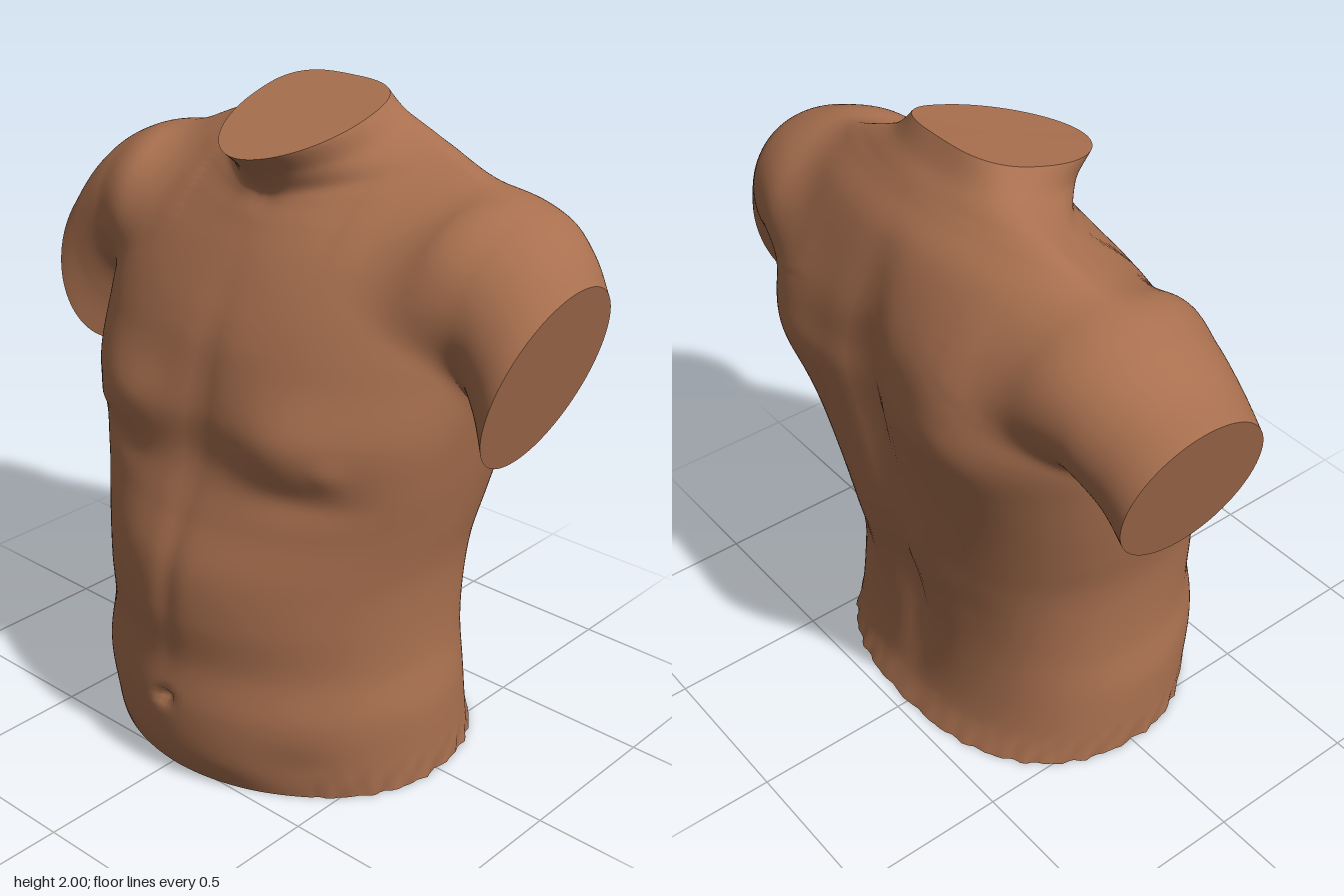
import * as THREE from 'three';
import { mergeGeometries } from 'three/addons/utils/BufferGeometryUtils.js';

const skin = new THREE.MeshStandardMaterial({ color: 0xa9704f });
const CX = 0.02; // the body stands slightly off centre
const { clamp, lerp, smoothstep } = THREE.MathUtils;

// Catmull-Rom interpolation of every column of a table of rows, t in 0..1
function sampleRows(rows, t) {
  const f = t * (rows.length - 1);
  const i = Math.min(Math.floor(f), rows.length - 2), k = f - i;
  const at = (j) => rows[clamp(j, 0, rows.length - 1)];
  return rows[i].map((_, c) => {
    const a = at(i - 1)[c], b = at(i)[c], d = at(i + 1)[c], e = at(i + 2)[c];
    return b + 0.5 * k * (d - a + k * (2 * a - 5 * b + 4 * d - e + k * (3 * (b - d) + e - a)));
  });
}
const refine = (rows) => Array.from({ length: 401 }, (_, i) => sampleRows(rows, i / 400));

// Row of a fine table where side(row) changes from negative to positive
function locate(table, side) {
  let lo = 0, hi = table.length - 1;
  while (hi - lo > 1) {
    const m = (lo + hi) >> 1;
    if (side(table[m]) < 0) lo = m; else hi = m;
  }
  const a = side(table[lo]), k = clamp(a / (a - side(table[hi])), 0, 1);
  return table[lo].map((v, c) => lerp(v, table[hi][c], k));
}

// Closed-ring loft with flat caps; point(t, angle) returns [x, y, z] or null where buried
function loft(point, rings, sides, flip, capEnds) {
  const make = (pos, tris) => {
    const g = new THREE.BufferGeometry();
    g.setAttribute('position', new THREE.Float32BufferAttribute(pos.flatMap((p) => p ?? [0, 1, 0]), 3));
    const shown = tris.filter((tri) => tri.every((i) => pos[i]));
    g.setIndex(shown.flatMap(([a, b, c]) => (flip ? [a, c, b] : [a, b, c])));
    g.computeVertexNormals();
    return g;
  };
  const ring = (i) => Array.from({ length: sides }, (_, j) => point(i / rings, (j / sides) * Math.PI * 2));
  const pos = [], tris = [];
  for (let i = 0; i <= rings; i++) {
    pos.push(...ring(i));
    for (let j = 0; i < rings && j < sides; j++) {
      const a = i * sides + j, b = i * sides + ((j + 1) % sides);
      tris.push([a, a + sides, b], [b, a + sides, b + sides]);
    }
  }
  const cap = (end) => {
    const r = ring(end * rings);
    const mid = [0, 1, 2].map((c) => r.reduce((s, p) => s + p[c], 0) / sides);
    return make([...r, mid], r.map((_, j) => (end ? [sides, (j + 1) % sides, j] : [sides, j, (j + 1) % sides])));
  };
  return mergeGeometries([make(pos, tris), ...capEnds.map(cap)]);
}

// Torso rows: height, half width, z of widest point, front z, back z,
// front roundness, back roundness, tilt of the section
const TORSO = [
  [0.0, 0.6, 0.04, 0.52, -0.46, 1.9, 2.4, 0],
  [0.1, 0.6, 0.04, 0.565, -0.42, 1.85, 2.4, 0],
  [0.25, 0.595, 0.05, 0.575, -0.4, 1.85, 2.4, 0],
  [0.4, 0.575, 0.05, 0.555, -0.4, 1.85, 2.4, 0],
  [0.55, 0.57, 0.05, 0.56, -0.42, 1.9, 2.4, 0],
  [0.7, 0.58, 0.05, 0.54, -0.455, 1.95, 2.4, 0],
  [0.85, 0.61, 0.03, 0.475, -0.48, 2.15, 2.5, 0],
  [1.0, 0.64, 0.02, 0.415, -0.5, 2.45, 2.7, 0],
  [1.15, 0.665, 0, 0.4, -0.52, 2.5, 2.9, 0],
  [1.3, 0.685, -0.04, 0.37, -0.54, 2.25, 3.1, 0],
  [1.4, 0.69, -0.06, 0.335, -0.535, 2.15, 3.1, -0.02],
  [1.5, 0.68, -0.09, 0.285, -0.525, 2.1, 2.8, -0.05],
  [1.6, 0.66, -0.13, 0.23, -0.49, 1.9, 2.3, -0.1],
  [1.69, 0.6, -0.16, 0.18, -0.435, 1.6, 1.9, -0.2],
  [1.75, 0.5, -0.18, 0.15, -0.37, 1.4, 1.7, -0.28],
  [1.79, 0.4, -0.19, 0.155, -0.335, 1.35, 1.7, -0.306],
  [1.85, 0.275, -0.16, 0.18, -0.29, 1.7, 2.2, -0.306],
  [1.923, 0.217, -0.07, 0.24, -0.25, 1.9, 3, -0.306],
];
const TORSO_FINE = refine(TORSO);

// Muscle relief: x, y, x spread, y spread, height (mirrored when x is not 0)
const FRONT = [
  [0.32, 1.11, 0.2, 0.13, 0.048],   // chest
  [0.45, 1.06, 0.04, 0.04, 0.012],
  [0.38, 0.96, 0.16, 0.05, -0.018], // fold under chest
  [0, 1.2, 0.05, 0.25, -0.012],     // breastbone
  [0, 0.65, 0.04, 0.25, -0.01],     // belly line
  [0, 0.265, 0.03, 0.02, -0.035],   // navel
  [0.4, 0.1, 0.1, 0.08, -0.02],     // groin folds
  [0, 1.74, 0.05, 0.05, -0.018],    // throat hollow
];
const BACK = [
  [0, 1.25, 0.07, 0.35, -0.05],     // spine groove
  [0, 0.5, 0.06, 0.3, -0.025],
  [0.38, 1.34, 0.18, 0.22, 0.045],  // shoulder blades
  [0.16, 0.6, 0.1, 0.3, 0.016],     // lower back
];
function relief(list, x, y) {
  let sum = 0;
  for (const [bx, by, sx, sy, h] of list) {
    for (const s of bx ? [1, -1] : [1]) {
      sum += h * Math.exp(-(((x - s * bx) / sx) ** 2) - ((y - by) / sy) ** 2);
    }
  }
  return sum;
}

const spow = (v, p) => Math.sign(v) * Math.pow(Math.abs(v), p);
function torsoPoint(t, a) {
  const [y0, w, zw, zf, zb, nf, nb, tilt] = sampleRows(TORSO, t);
  const s = Math.sin(a), front = s >= 0, p = 2 / (front ? nf : nb);
  // ragged hem around the sides and back
  const hem = Math.max(0, 1 - y0 / 0.1) * (s < 0.7 ? 1 : 0);
  const rag = 1 + hem * 0.006 * (Math.sin(a * 47) + Math.sin(a * 31 + y0 * 40));
  const x = w * spow(Math.cos(a), p) * rag;
  const z = zw + (front ? zf - zw : zw - zb) * spow(s, p) * rag;
  const y = y0 + tilt * z;
  return [x + CX, y, z + relief(front ? FRONT : BACK, x, y) * s];
}
// Approximate signed distance to the torso
function torsoDistance([px, y, z]) {
  const [, w, zw, zf, zb, nf, nb] = locate(TORSO_FINE, (r) => r[0] + r[7] * z - y);
  const x = px - CX, front = z >= zw, n = front ? nf : nb, depth = front ? zf - zw : zw - zb;
  const s = spow(clamp((z - zw) / depth, -1, 1), n / 2);
  const dz = z - zw - relief(front ? FRONT : BACK, x, y) * s;
  const r = (Math.abs(x / w) ** n + Math.abs(dz / depth) ** n) ** (1 / n);
  return Math.hypot(x, dz) * (1 - 1 / r);
}

// Upper-arm rows: top x, top y, bottom x, bottom y, front z, back z, lean of the section
const LEFT_ARM = [
  [0.4, 1.69, 0.4, 1.36, 0.08, -0.39, 0],
  [0.6, 1.775, 0.54, 1.33, 0.14, -0.445, 0.01],
  [0.75, 1.75, 0.66, 1.275, 0.125, -0.425, 0.025],
  [0.86, 1.68, 0.73, 1.175, 0.13, -0.38, 0.035],
  [0.93, 1.59, 0.78, 1.06, 0.15, -0.35, 0.04],
];
// the right arm hangs a little lower
const RIGHT_ARM = LEFT_ARM.map(([tx, ty, bx, by, ...rest], i) => [tx, ty - 0.012 * i, bx, by - 0.008 * i, ...rest]);
const ARMS = [LEFT_ARM, RIGHT_ARM].map((rows) => ({ rows, fine: refine(rows) }));

function armPoint(index, t, a) {
  const [tx, ty, bx, by, zf, zb, lean] = sampleRows(ARMS[index].rows, t);
  const c = Math.cos(a), k = (1 + c) / 2;
  const z = (zf + zb) / 2 + ((zf - zb) / 2) * Math.sin(a) - lean * c;
  return [(index ? -1 : 1) * lerp(bx, tx, k), lerp(by, ty, k), z];
}
// Approximate signed distance to the arm on the same side as the point
function armDistance([px, y, z]) {
  const x = Math.abs(px), { fine } = ARMS[px < 0 ? 1 : 0];
  const side = ([tx, ty, bx, by]) => ((y - by) * (tx - bx) - (x - bx) * (ty - by)) / Math.hypot(tx - bx, ty - by);
  const [tx, ty, bx, by, zf, zb, lean] = locate(fine, side);
  const ux = tx - bx, uy = ty - by, len = Math.hypot(ux, uy), half = (zf - zb) / 2;
  const v = (2 * ((x - bx) * ux + (y - by) * uy)) / (len * len) - 1;
  const e = (z - (zf + zb) / 2 + lean * v) / half;
  return Math.max(Math.hypot((v * len) / 2, e * half) * (1 - 1 / Math.hypot(v, e)), side(fine[0]));
}

// Smooth union of torso and arms: wide over the shoulder, tight in the armpit
const blendWidth = (y) => 0.03 + 0.11 * smoothstep(y, 1.25, 1.55);
function bodyDistance(p) {
  const a = armDistance(p), b = torsoDistance(p), k = blendWidth(p[1]);
  return Math.min(a, b) - (Math.max(k - Math.abs(a - b), 0) ** 2) / (4 * k);
}
// Moves a point near the other part onto the smooth union; drops it when buried
function settle(p, otherDistance) {
  if (Math.abs(p[0]) < 0.3 || p[1] < 0.9) return p;
  const d = otherDistance(p), k = blendWidth(p[1]);
  if (d > k) return p;
  if (d < -0.035 - 0.3 * k) return null;
  let q = p;
  for (let i = 0; i < 5; i++) {
    const f = bodyDistance(q), h = 0.002;
    const grad = q.map((_, c) => (bodyDistance(q.map((v, j) => (j === c ? v + h : v))) - f) / h);
    const step = clamp(f, -0.03, 0.03) / Math.max(0.5, grad.reduce((s, g) => s + g * g, 0));
    q = q.map((v, c) => v - step * grad[c]);
  }
  return q;
}

export function createModel() {
  const model = new THREE.Group();
  model.name = 'torsoFigure';
  const add = (name, geometry) => {
    const mesh = new THREE.Mesh(geometry, skin);
    mesh.name = name;
    model.add(mesh);
  };
  add('torsoAndNeck', loft((t, a) => settle(torsoPoint(t, a), armDistance), 150, 160, false, [0, 1]));
  ['leftUpperArm', 'rightUpperArm'].forEach((name, i) => {
    add(name, loft((t, a) => settle(armPoint(i, t, a), torsoDistance), 64, 96, i === 0, [1]));
  });
  return model;
}
